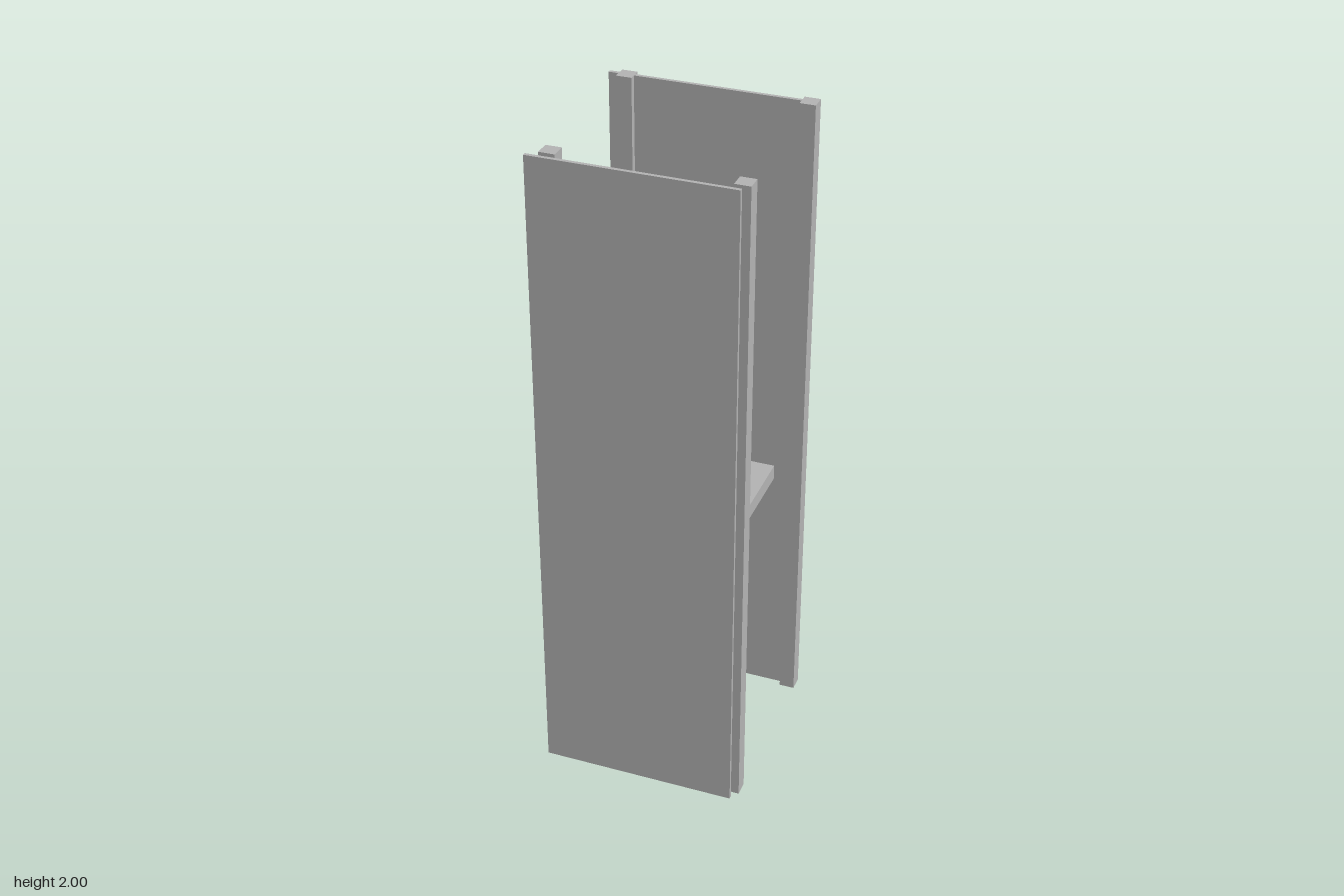
import * as THREE from 'three';

export function createModel() {
  const model = new THREE.Group();
  model.name = 'openCabinet';
  const grey = new THREE.MeshStandardMaterial({ color: 0xb2b2b2 });
  grey.name = 'grey';

  // Box given by its extents along x, y and z
  function addBox(name, [x0, x1], [y0, y1], [z0, z1]) {
    const mesh = new THREE.Mesh(new THREE.BoxGeometry(x1 - x0, y1 - y0, z1 - z0), grey);
    mesh.name = name;
    mesh.position.set((x0 + x1) / 2, (y0 + y1) / 2, (z0 + z1) / 2);
    model.add(mesh);
  }

  const height = [0, 2];
  const panelWidth = [-0.304, 0.284];

  // Four square corner posts
  const postSize = 0.046;
  for (const [side, x] of [['Right', -0.275], ['Left', 0.256]]) {
    for (const [end, z] of [['front', 0.226], ['back', -0.304]]) {
      addBox(`${end}${side}Post`, [x, x + postSize], height, [z, z + postSize]);
    }
  }

  // Thin full-height panels: one ahead of the front posts, one through the back posts
  addBox('frontPanel', panelWidth, height, [0.291, 0.302]);
  addBox('backPanel', panelWidth, height, [-0.287, -0.276]);

  // Shelf
  addBox('shelf', [-0.245, 0.225], [0.802, 0.848], [-0.228, 0.242]);

  return model;
}
